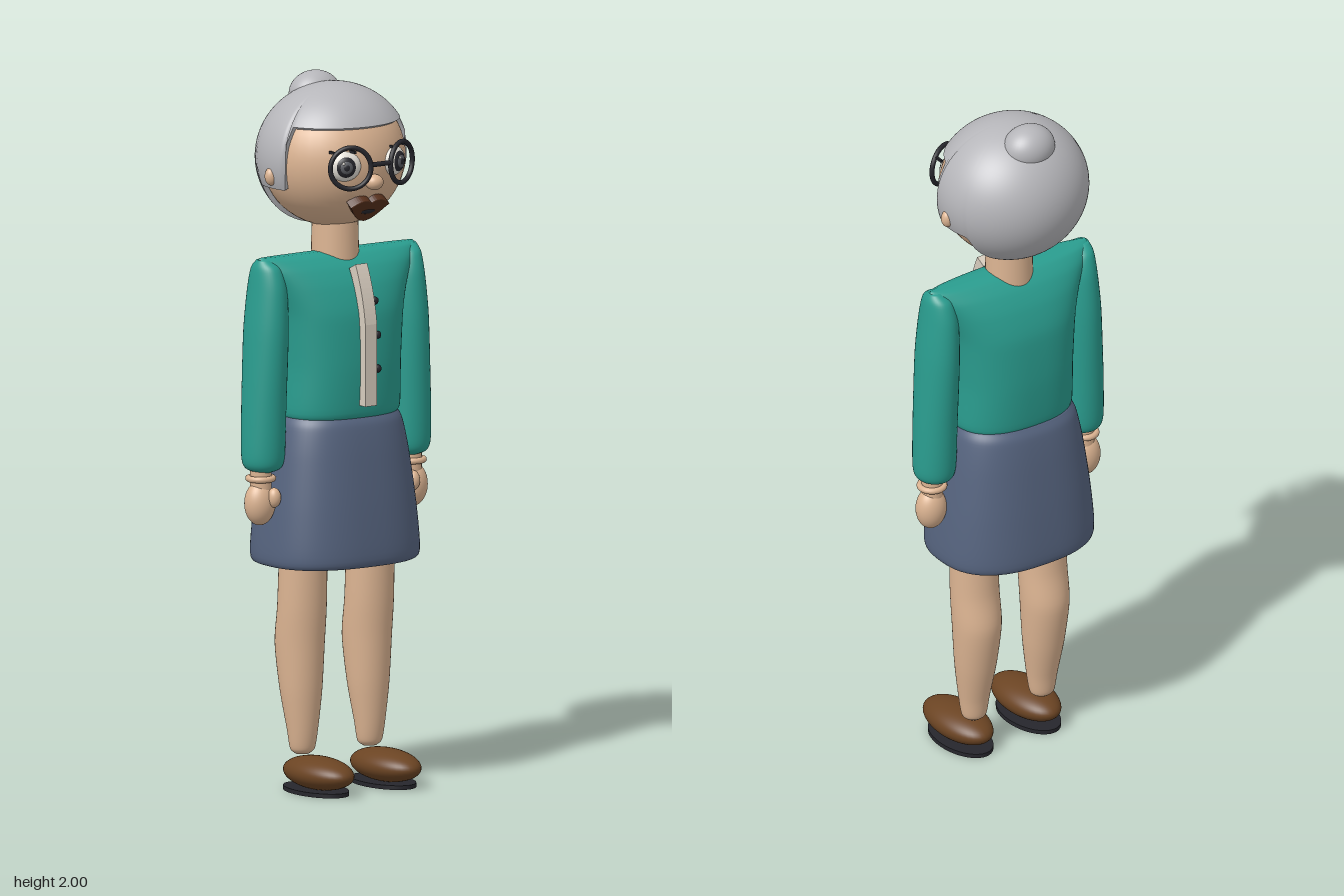
import * as THREE from 'three';

const mat = (name, color, side = THREE.FrontSide) => {
  const m = new THREE.MeshStandardMaterial({ color, side });
  m.name = name;
  return m;
};

// Closed loft through rows [y, cx, cz, rx, rz] listed bottom to top; n sets how square the rings are.
function loft(rows, n = 2, seg = 40, steps = 6) {
  const centres = new THREE.CatmullRomCurve3(rows.map(r => new THREE.Vector3(r[1], r[0], r[2])), false, 'catmullrom', 0.4);
  const radii = new THREE.CatmullRomCurve3(rows.map(r => new THREE.Vector3(r[3], 0, r[4])), false, 'catmullrom', 0.4);
  const count = (rows.length - 1) * steps, pos = [], idx = [];
  const pw = v => Math.sign(v) * Math.abs(v) ** (2 / n);
  for (let r = 0; r <= count; r++) {
    const c = centres.getPoint(r / count), q = radii.getPoint(r / count);
    for (let i = 0; i < seg; i++) {
      const a = (i / seg) * Math.PI * 2;
      pos.push(c.x + q.x * pw(Math.cos(a)), c.y, c.z + q.z * pw(Math.sin(a)));
    }
  }
  for (let r = 0; r < count; r++) for (let i = 0; i < seg; i++) {
    const j = (i + 1) % seg, a = r * seg, b = a + seg;
    idx.push(a + i, b + i, a + j, b + i, b + j, a + j);
  }
  const top = pos.length / 3, first = rows[0], last = rows[rows.length - 1];
  pos.push(last[1], last[0], last[2], first[1], first[0], first[2]);
  for (let i = 0; i < seg; i++) {
    const j = (i + 1) % seg, t = count * seg;
    idx.push(top, t + j, t + i, top + 1, i, j);
  }
  return buffer(pos, idx);
}

function buffer(pos, idx) {
  const g = new THREE.BufferGeometry();
  g.setAttribute('position', new THREE.Float32BufferAttribute(pos, 3));
  g.setIndex(idx);
  g.computeVertexNormals();
  return g;
}

// Hair shell: each meridian runs down from the crown until it meets the hairline.
function hairShell() {
  const cols = 144, rows = 40, pos = [], idx = [];
  const C = [0, 1.773, -0.015], R = [0.222, 0.207, 0.207];
  const point = (az, phi, k = 1) => [
    C[0] + k * R[0] * Math.sin(phi) * Math.sin(az),
    C[1] + k * R[1] * Math.cos(phi),
    C[2] + k * R[2] * Math.sin(phi) * Math.cos(az)];
  const covered = ([, y, z]) => y > 1.878 || (y > 1.7 && z < 0.045) || z < -0.08;
  const ends = Array.from({ length: cols }, (_, i) => {
    let phi = 0.6;
    while (phi < 3 && covered(point((i / cols) * Math.PI * 2, phi))) phi += 0.005;
    return phi;
  });
  for (let r = 0; r <= rows + 2; r++) for (let i = 0; i < cols; i++)
    pos.push(...point((i / cols) * Math.PI * 2, ends[i] * Math.min(1, r / rows), r > rows + 1 ? 0.9 : 1));
  for (let r = 0; r < rows + 2; r++) {
    if (r === rows) continue; // crisp edge before the inward rim
    for (let i = 0; i < cols; i++) {
      const j = (i + 1) % cols, a = r * cols, b = a + cols;
      idx.push(a + i, b + i, a + j, b + i, b + j, a + j);
    }
  }
  return buffer(pos, idx);
}

export function createModel() {
  const model = new THREE.Group();
  model.name = 'elderlyWoman';
  const teal = mat('teal cardigan', 0x2a9d8f), navy = mat('slate skirt', 0x56647f);
  const skin = mat('skin', 0xdcb492), grey = mat('grey hair', 0xb6b6ba, THREE.DoubleSide);
  const brown = mat('brown leather', 0x6b4423), dark = mat('near black', 0x26262c);
  const cream = mat('cream trim', 0xd8cdbf), lip = mat('lip brown', 0x56301c);
  const white = mat('eye white', 0xe4e0d8), iris = mat('iris grey', 0x5a5c62);

  const add = (name, geo, m, p = [0, 0, 0], parent = model) => {
    const mesh = new THREE.Mesh(geo, m);
    mesh.name = name;
    mesh.position.set(...p);
    parent.add(mesh);
    return mesh;
  };
  const ball = (name, m, p, r, parent = model) =>
    add(name, new THREE.SphereGeometry(1, 40, 28).scale(...r), m, p, parent);

  // Head, hair and neck
  ball('head', skin, [0, 1.773, -0.015], [0.206, 0.197, 0.195]);
  add('hair', hairShell(), grey);
  ball('hairBun', grey, [0, 1.935, -0.1], [0.077, 0.065, 0.065]);
  ball('nose', skin, [0, 1.724, 0.182], [0.026, 0.022, 0.024]);
  add('neck', new THREE.CylinderGeometry(0.064, 0.068, 0.18, 32), skin, [0, 1.54, -0.005]);

  // Mouth: two-lobed lips with a dark opening
  const mouth = new THREE.Group();
  mouth.name = 'mouth';
  mouth.position.set(0, 1.658, 0.135);
  mouth.rotation.x = 0.6;
  model.add(mouth);
  const lips = new THREE.Shape();
  lips.moveTo(0, 0.02);
  lips.bezierCurveTo(0.02, 0.042, 0.045, 0.028, 0.062, 0.012);
  lips.bezierCurveTo(0.045, -0.005, 0.03, -0.04, 0, -0.042);
  lips.bezierCurveTo(-0.03, -0.04, -0.045, -0.005, -0.062, 0.012);
  lips.bezierCurveTo(-0.045, 0.028, -0.02, 0.042, 0, 0.02);
  add('lips', new THREE.ExtrudeGeometry(lips, { depth: 0.022, bevelSize: 0.003, bevelThickness: 0.004, bevelSegments: 3 }), lip, [0, 0, 0], mouth);
  ball('mouthOpening', dark, [0, -0.008, 0.025], [0.024, 0.008, 0.004], mouth);

  // Cardigan body, placket and buttons
  add('cardigan', loft([
    [1.045, 0, 0, 0.165, 0.12], [1.07, 0, 0, 0.182, 0.137], [1.2, 0, 0, 0.182, 0.145],
    [1.34, 0, 0, 0.195, 0.138], [1.42, 0, 0, 0.222, 0.112], [1.47, 0, 0, 0.25, 0.08],
    [1.5, 0, 0, 0.265, 0.045], [1.51, 0, 0, 0.262, 0.015],
  ], 2.5, 64), teal);
  const strip = new THREE.Shape();
  strip.moveTo(-0.14, 1.09);
  strip.lineTo(-0.167, 1.09);
  strip.lineTo(-0.167, 1.32);
  strip.quadraticCurveTo(-0.155, 1.41, -0.12, 1.485);
  strip.lineTo(-0.09, 1.47);
  strip.quadraticCurveTo(-0.13, 1.4, -0.14, 1.32);
  const placket = add('placket', new THREE.ExtrudeGeometry(strip, { depth: 0.04, bevelEnabled: false }), cream, [-0.02, 0, 0]);
  placket.rotation.y = Math.PI / 2;
  [[1.38, 0.136], [1.285, 0.148], [1.19, 0.15]].forEach(([y, z]) => ball('button', dark, [0.035, y, z], [0.011, 0.011, 0.009]));

  // Skirt
  add('skirt', loft([
    [0.65, 0, 0, 0.12, 0.08], [0.636, 0, -0.005, 0.215, 0.165], [0.66, 0, -0.005, 0.239, 0.188],
    [0.8, 0, -0.005, 0.228, 0.179], [0.95, 0, -0.005, 0.207, 0.161], [1.03, 0, -0.005, 0.19, 0.146],
    [1.06, 0, -0.005, 0.175, 0.13],
  ], 2.5, 64), navy);

  // Glasses bridge
  const bridge = add('glassesBridge', new THREE.CylinderGeometry(0.007, 0.007, 0.066, 12), dark, [0, 1.78, 0.212]);
  bridge.rotation.z = Math.PI / 2;

  for (const s of [1, -1]) {
    const side = s > 0 ? 'left' : 'right';

    // Ear, eye and spectacle rim
    ball(side + 'Ear', skin, [s * 0.212, 1.735, -0.012], [0.02, 0.026, 0.018]);
    const eye = new THREE.Group();
    eye.name = side + 'Eye';
    eye.position.set(s * 0.083, 1.773, 0.156);
    eye.rotation.y = s * 0.4;
    model.add(eye);
    ball('eyeWhite', white, [0, 0, 0], [0.046, 0.042, 0.026], eye);
    ball('irisRing', dark, [0, 0, 0.015], [0.03, 0.03, 0.014], eye);
    ball('iris', iris, [0, 0, 0.022], [0.02, 0.02, 0.009], eye);
    ball('pupil', dark, [0, 0, 0.027], [0.011, 0.011, 0.005], eye);
    ball('glint', white, [-0.009, 0.012, 0.028], [0.004, 0.004, 0.003], eye);
    const rim = add(side + 'GlassesRim', new THREE.TorusGeometry(0.058, 0.007, 12, 48), dark, [s * 0.087, 1.773, 0.19]);
    rim.rotation.y = s * 0.4;
    for (const [x, z] of [[0.068, 0.175], [0.124, 0.155]])
      add('eyelash', new THREE.BoxGeometry(0.007, 0.007, 0.025), dark, [s * x, 1.815, z]);

    // Sleeve, wrist band, hand
    add(side + 'Sleeve', loft([
      [0.908, s * 0.25, 0, 0.025, 0.028], [0.92, s * 0.25, 0, 0.05, 0.052], [0.955, s * 0.25, 0, 0.06, 0.062],
      [1.1, s * 0.247, 0, 0.06, 0.068], [1.3, s * 0.24, 0, 0.056, 0.075], [1.42, s * 0.236, 0, 0.048, 0.068],
      [1.48, s * 0.24, 0, 0.037, 0.05], [1.505, s * 0.25, 0, 0.018, 0.02],
    ]), teal);
    add(side + 'Wrist', new THREE.CylinderGeometry(0.03, 0.03, 0.09, 24), skin, [s * 0.257, 0.885, 0]);
    const band = add(side + 'Bracelet', new THREE.TorusGeometry(0.034, 0.009, 12, 36), skin, [s * 0.258, 0.89, 0]);
    band.rotation.x = Math.PI / 2;
    ball(side + 'Hand', skin, [s * 0.261, 0.82, 0], [0.045, 0.062, 0.04]);
    ball(side + 'Thumb', skin, [s * 0.238, 0.838, 0.036], [0.019, 0.028, 0.02]);

    // Leg, shoe, sole
    const x = s * 0.115;
    add(side + 'Leg', loft([
      [0.1, x, 0, 0.02, 0.018], [0.115, x, 0, 0.036, 0.032], [0.17, x, 0, 0.045, 0.041],
      [0.28, x, -0.007, 0.06, 0.058], [0.41, x, -0.013, 0.069, 0.071], [0.52, x, -0.002, 0.07, 0.067],
      [0.7, x, 0.005, 0.068, 0.066],
    ]), skin);
    ball(side + 'Shoe', brown, [x, 0.056, 0.077], [0.073, 0.046, 0.136]);
    add(side + 'Sole', new THREE.CylinderGeometry(1, 1, 0.012, 40).scale(0.071, 1, 0.122), dark, [x, 0.006, 0.065]);
  }
  return model;
}
